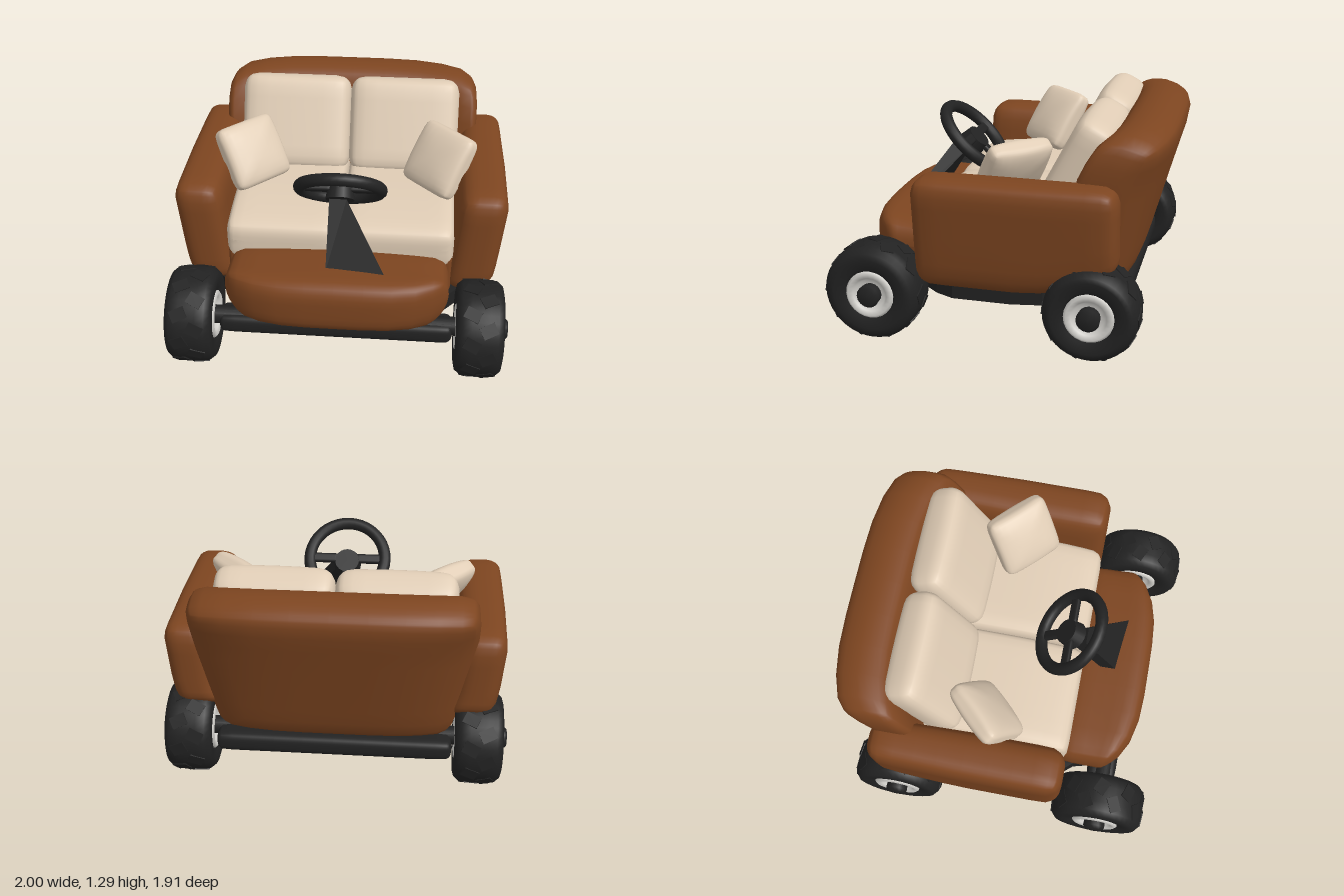
import * as THREE from 'three';
import { mergeVertices } from 'three/addons/utils/BufferGeometryUtils.js';

const mat = (name, color) => {
  const m = new THREE.MeshStandardMaterial({ color });
  m.name = name;
  return m;
};

// Upholstered block: rounded box with points gathered at the edges, then bent by a rule
function softBox(w, h, d, r, warp) {
  const g = new THREE.BoxGeometry(2, 2, 2, 12, 12, 12);
  const p = g.attributes.position;
  const half = new THREE.Vector3(w / 2, h / 2, d / 2);
  const inner = half.clone().subScalar(r);
  const v = new THREE.Vector3(), c = new THREE.Vector3();
  for (let i = 0; i < p.count; i++) {
    v.fromBufferAttribute(p, i);
    v.set(...v.toArray().map((t) => Math.sin((t * Math.PI) / 2))).multiply(half);
    c.copy(v).clamp(inner.clone().negate(), inner);
    v.sub(c).setLength(r).add(c);
    if (warp) warp(v);
    p.setXYZ(i, v.x, v.y, v.z);
  }
  g.deleteAttribute('normal');
  g.deleteAttribute('uv');
  const out = mergeVertices(g, 1e-5);
  out.computeVertexNormals();
  return out;
}

const lathe = (pts, n) => new THREE.LatheGeometry(pts.map(([x, y]) => new THREE.Vector2(x, y)), n);

export function createModel() {
  const root = new THREE.Group();
  root.name = 'sofaCar';
  const brown = mat('brown leather', 0x7d4520);
  const cream = mat('cream fabric', 0xdfccb5);
  const black = mat('black rubber', 0x222222);
  const silver = mat('light metal', 0xd6d4cf);

  const add = (parent, name, geo, material, x = 0, y = 0, z = 0) => {
    const m = new THREE.Mesh(geo, material);
    m.name = name;
    m.position.set(x, y, z);
    parent.add(m);
    return m;
  };

  // Sofa base and rounded front
  add(root, 'sofaBase', softBox(1.34, 0.3, 1.02, 0.05), brown, 0, 0.46, -0.09);
  add(root, 'frontPanel', softBox(1.3, 0.34, 0.5, 0.11, (v) => {
    const u = Math.abs(v.x) / 0.65;
    if (v.y > 0) v.y += 0.06 * (v.z - 0.2) - 0.025 * u * u;
    if (v.z > 0) v.z -= 0.17 * u ** 4 * (v.z / 0.25);
    v.x *= 1 + 0.4 * Math.min(0, v.y + 0.02);
  }), brown, 0, 0.47, 0.59);

  // Backrest leans back and wraps forward at its ends, less so near the top
  add(root, 'backrest', softBox(1.6, 0.95, 0.34, 0.11, (v) => {
    const up = v.y / 0.95 + 0.5;
    const rear = Math.max(0, -v.z / 0.17);
    const wrap = (0.08 + 0.13 * up) * (1 - 2 * Math.max(0, v.y - 0.22));
    v.z += -0.26 * v.y + wrap * (Math.abs(v.x) / 0.8) ** 4;
    v.x *= 1 + 0.22 * Math.min(0, v.y - 0.2);
    v.y -= 0.05 * up * (v.x / 0.8) ** 4 + 0.05 * rear * up * up;
  }), brown, 0, 0.79, -0.69);

  for (const s of [1, -1]) {
    const side = s > 0 ? 'left' : 'right';

    // Armrest, leaning in below and lifted at the lower rear
    add(root, side + 'Armrest', softBox(0.285, 0.66, 1.14, 0.105, (v) => {
      v.x -= s * (0.1 * (0.26 - v.y) + 0.3 * Math.max(0, -v.y - 0.1) ** 2);
      if (v.y < 0) v.y += 0.18 * (-v.y / 0.33) * Math.max(0, -v.z / 0.57) ** 2;
      v.x *= 1 - 0.1 * Math.max(0, -v.z / 0.57);
    }), brown, s * 0.832, 0.66, -0.14);

    // Seat and back cushions
    add(root, side + 'SeatCushion', softBox(0.67, 0.3, 0.9, 0.07, (v) => {
      if (v.y > 0) v.y -= 0.05 * Math.max(0, v.z / 0.45) ** 2;
    }), cream, s * 0.337, 0.65, -0.02);
    const back = add(root, side + 'BackCushion', softBox(0.68, 0.6, 0.23, 0.09, (v) => {
      v.z *= 1 + 0.12 * (1 - (v.x / 0.34) ** 2);
    }), cream, s * 0.34, 0.995, -0.43);
    back.rotation.x = -0.48;

    // Throw pillow pinched towards its corners
    const pillow = add(root, side + 'Pillow', softBox(0.39, 0.39, 0.18, 0.05, (v) => {
      const a = (v.x / 0.195) ** 2, b = (v.y / 0.195) ** 2;
      v.z *= 1 - 0.35 * Math.max(a, b) - 0.25 * a * b;
    }), cream, s * 0.57, 0.97, -0.065);
    pillow.rotation.order = 'YXZ';
    pillow.rotation.set(-0.6, -s * 0.79, 0);
  }

  // Floor plate, widest between the wheels
  const half = [[0.5, -0.62], [0.64, -0.42], [0.75, -0.28], [0.78, -0.1], [0.78, 0.24], [0.73, 0.35], [0.62, 0.48], [0.56, 0.7]];
  const outline = [...half, ...half.map(([x, z]) => [-x, z]).reverse()];
  const plate = new THREE.Shape(outline.map(([x, z]) => new THREE.Vector2(x, z)));
  const floor = add(root, 'floorPlate', new THREE.ExtrudeGeometry(plate, { depth: 0.1, bevelEnabled: false }), black, 0, 0.335, 0);
  floor.rotation.x = Math.PI / 2;

  // Wheels on axle beams
  for (const [end, z, R, beamZ] of [['front', 0.67, 0.283, 0.66], ['rear', -0.58, 0.272, -0.65]]) {
    add(root, end + 'AxleBeam', softBox(1.36, 0.12, 0.18, 0.045), black, 0, 0.26, beamZ);
    const axle = add(root, end + 'Axle', new THREE.CylinderGeometry(0.055, 0.055, 1.96, 16), black, 0, 0.285, z);
    axle.rotation.z = Math.PI / 2;

    const sideWall = [[0.13, 0.11], [0.155, 0.128], [0.21, 0.138], [R - 0.035, 0.13], [R - 0.01, 0.1], [R - 0.003, 0.05]];
    const tirePts = [
      ...sideWall.map(([r, y]) => [r, -y]),
      ...sideWall.slice().reverse(), [0.13, -0.11],
    ];
    const rimPts = [
      [0.05, -0.1], [0.085, -0.1], [0.1, -0.125], [0.125, -0.137], [0.14, -0.125],
      [0.14, 0.125], [0.125, 0.137], [0.1, 0.125], [0.085, 0.1], [0.05, 0.1],
    ];
    for (const s of [1, -1]) {
      const wheel = new THREE.Group();
      wheel.name = end + (s > 0 ? 'Left' : 'Right') + 'Wheel';
      wheel.position.set(s * 0.83, 0.285, z);
      wheel.rotation.z = (-s * Math.PI) / 2;
      root.add(wheel);
      add(wheel, 'tire', lathe(tirePts, 40), black);
      add(wheel, 'rim', lathe(rimPts, 24), silver);
      add(wheel, 'hubCap', lathe([[0.062, 0.09], [0.066, 0.15], [0.048, 0.168], [0, 0.17]], 16), black);
      // Low chevron tread blocks
      for (let i = 0; i < 20; i++) {
        const k = i % 2 ? 1 : -1;
        const arm = new THREE.Group();
        arm.name = 'treadArm';
        arm.rotation.y = (i / 20) * Math.PI * 2;
        wheel.add(arm);
        const lug = add(arm, 'treadBlock', new THREE.BoxGeometry(0.012, 0.09, 0.07), black, R - 0.008, k * 0.046, 0);
        lug.rotation.set(k * 0.45, 0, k * 0.06);
      }
    }
  }

  // Steering wheel, tilted towards the seat
  const steering = new THREE.Group();
  steering.name = 'steeringWheel';
  steering.position.set(0, 0.975, 0.325);
  steering.rotation.x = Math.PI / 4;
  root.add(steering);
  add(steering, 'steeringRim', new THREE.TorusGeometry(0.237, 0.037, 12, 40), black);
  const hub = add(steering, 'steeringHub', new THREE.CylinderGeometry(0.085, 0.075, 0.08, 20), black, 0, -0.02, 0.02);
  hub.rotation.x = Math.PI / 2;
  for (const a of [0, Math.PI, -Math.PI / 2]) {
    const spoke = add(steering, 'spoke', softBox(0.19, 0.06, 0.035, 0.015), black, Math.cos(a) * 0.145, Math.sin(a) * 0.145, 0);
    spoke.rotation.z = a;
  }

  // Steering column: a bar flaring to one side at its foot
  const column = new THREE.BoxGeometry(1, 1, 1);
  const p = column.attributes.position;
  for (let i = 0; i < p.count; i++) {
    const top = p.getY(i) > 0, right = p.getX(i) > 0, front = p.getZ(i) > 0;
    if (top) p.setXYZ(i, right ? 0.045 : -0.055, front ? 0.97 : 0.91, front ? 0.425 : 0.355);
    else if (right) p.setXYZ(i, 0.28, front ? 0.62 : 0.59, front ? 0.67 : 0.64);
    else p.setXYZ(i, -0.06, front ? 0.61 : 0.57, front ? 0.64 : 0.57);
  }
  const columnGeo = column.toNonIndexed();
  columnGeo.computeVertexNormals();
  add(root, 'steeringColumn', columnGeo, black);

  return root;
}
